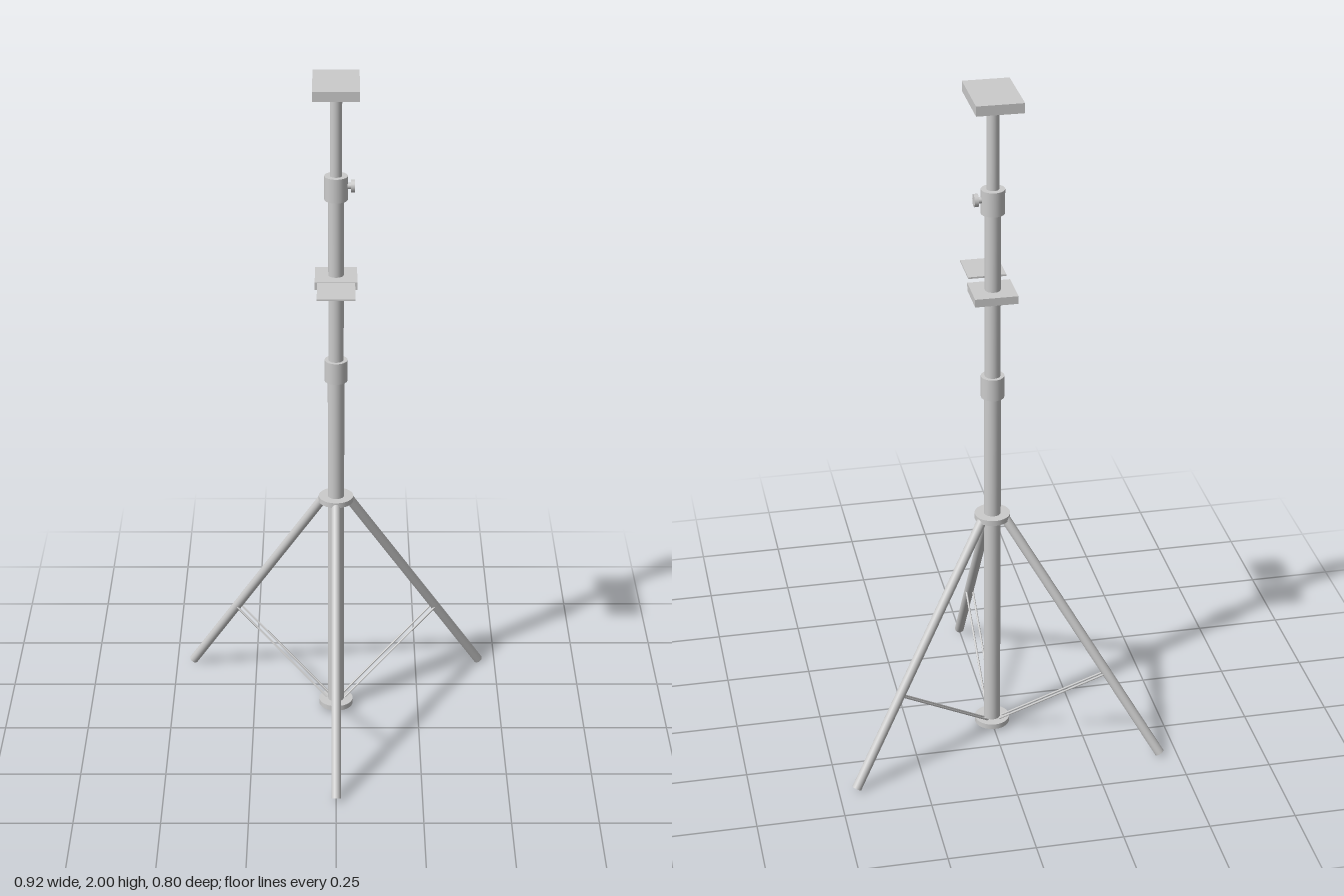
import * as THREE from 'three';

const AXIS_Z = -0.13; // pole axis, set back because the tripod reaches forward

export function createModel() {
  const model = new THREE.Group();
  model.name = 'tripodStand';
  const grey = new THREE.MeshStandardMaterial({ color: 0xcccccc, side: THREE.DoubleSide });

  const stand = new THREE.Group();
  stand.name = 'stand';
  stand.position.z = AXIS_Z;
  model.add(stand);

  const add = (name, geometry, parent = stand) => {
    const mesh = new THREE.Mesh(geometry, grey);
    mesh.name = name;
    parent.add(mesh);
    return mesh;
  };
  // upright cylinder between two heights
  const tube = (name, r, y0, y1) => {
    add(name, new THREE.CylinderGeometry(r, r, y1 - y0, 32)).position.y = (y0 + y1) / 2;
  };
  // box from its width, depth, two heights and centre z
  const slab = (name, w, d, y0, y1, z = 0) => {
    add(name, new THREE.BoxGeometry(w, y1 - y0, d)).position.set(0, (y0 + y1) / 2, z);
  };
  // straight rod between two points
  const rod = (name, a, b, r, parent, sides = 20) => {
    const dir = b.clone().sub(a);
    const mesh = add(name, new THREE.CylinderGeometry(r, r, dir.length(), sides), parent);
    mesh.position.copy(a).add(b).multiplyScalar(0.5);
    mesh.quaternion.setFromUnitVectors(new THREE.Vector3(0, 1, 0), dir.normalize());
  };
  const v = (x, y, z) => new THREE.Vector3(x, y, z);

  // telescoping pole
  tube('lowerPole', 0.024, 0.012, 1.13);
  tube('middlePole', 0.022, 1.13, 1.69);
  tube('upperPole', 0.017, 1.69, 1.975);
  tube('lowerCollar', 0.033, 1.1, 1.165);
  tube('upperCollar', 0.033, 1.655, 1.725);
  tube('legHub', 0.051, 0.71, 0.726);
  tube('baseDisc', 0.051, 0.012, 0.028);

  // clamping knob on the upper collar
  rod('knobStem', v(0.02, 1.695, 0), v(0.043, 1.695, 0), 0.009);
  rod('knob', v(0.041, 1.695, 0), v(0.053, 1.695, 0), 0.018);

  // top plate, shelf bracket and thin tray in front of it
  slab('topPlate', 0.13, 0.196, 1.972, 2.0);
  slab('shelfBracket', 0.12, 0.113, 1.405, 1.428);
  slab('tray', 0.107, 0.118, 1.43, 1.435, 0.134);

  // three legs, each held by a pair of thin braces
  for (let i = 0; i < 3; i++) {
    const side = new THREE.Group();
    side.name = 'legAssembly' + (i + 1);
    side.rotation.y = (i * Math.PI * 2) / 3;
    stand.add(side);
    rod('leg', v(0, 0.718, 0.036), v(0, 0.009, 0.518), 0.014, side);
    for (const s of [-1, 1]) {
      rod('brace', v(s * 0.01, 0.024, 0.02), v(s * 0.01, 0.255, 0.35), 0.003, side, 10);
    }
  }
  return model;
}
